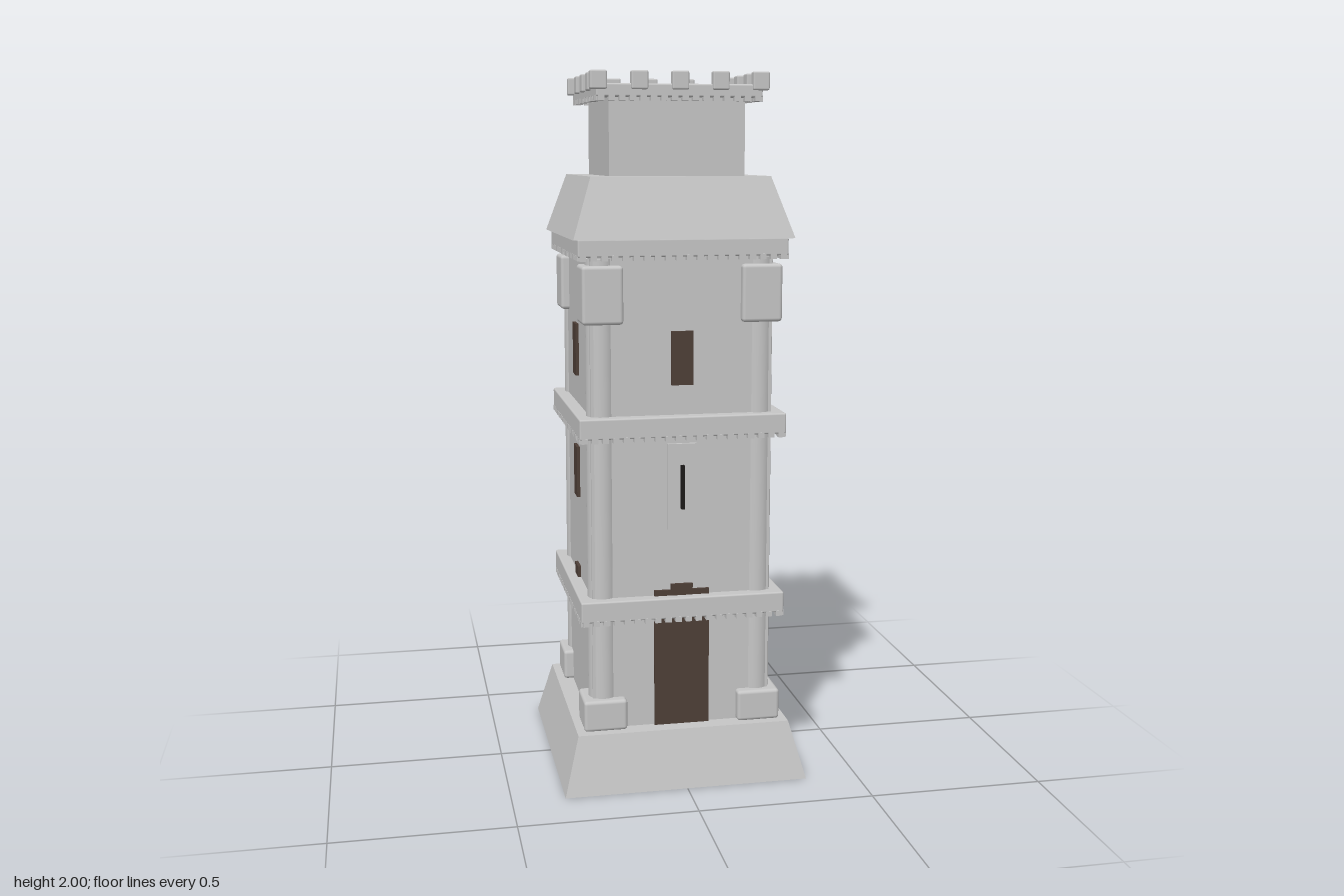
import * as THREE from 'three';
import { mergeGeometries } from 'three/addons/utils/BufferGeometryUtils.js';
import { RoundedBoxGeometry } from 'three/addons/geometries/RoundedBoxGeometry.js';

export function createModel() {
  const tower = new THREE.Group();
  tower.name = 'tower';

  const stone = new THREE.MeshStandardMaterial({ color: 0xc6c6c6 });
  stone.name = 'light grey stone';
  const wood = new THREE.MeshStandardMaterial({ color: 0x4e3f37 });
  wood.name = 'dark brown wood';
  const shadow = new THREE.MeshStandardMaterial({ color: 0x1c1a19 });
  shadow.name = 'near black opening';

  function add(name, geometry, material = stone, parent = tower) {
    const mesh = new THREE.Mesh(geometry, material);
    mesh.name = name;
    parent.add(mesh);
    return mesh;
  }

  // Box given by its centre in x and z, and its bottom and top in y
  function box(w, d, y0, y1, x = 0, z = 0) {
    return new THREE.BoxGeometry(w, y1 - y0, d).translate(x, (y0 + y1) / 2, z);
  }

  function softBox(w, d, y0, y1, x, z, radius) {
    return new RoundedBoxGeometry(w, y1 - y0, d, 2, radius).translate(x, (y0 + y1) / 2, z);
  }

  // Square block with sloping sides
  function frustum(bottomHalf, topHalf, y0, y1) {
    const g = new THREE.CylinderGeometry(topHalf * Math.SQRT2, bottomHalf * Math.SQRT2, y1 - y0, 4)
      .rotateY(Math.PI / 4)
      .translate(0, (y0 + y1) / 2, 0)
      .toNonIndexed();
    g.computeVertexNormals();
    return g;
  }

  // Row of small teeth under all four edges of a ledge
  function teeth(half, y0, y1, count) {
    const parts = [];
    const pitch = (2 * half) / count;
    for (let side = 0; side < 4; side++) {
      for (let i = 0; i < count; i++) {
        const x = -half + pitch * (i + 0.5);
        parts.push(box(pitch * 0.6, 0.02, y0, y1, x, half - 0.01).rotateY(side * Math.PI / 2));
      }
    }
    return mergeGeometries(parts);
  }

  // Main masses
  const wall = 0.256;
  add('slopingBase', frustum(0.35, 0.306, 0, 0.163));
  add('towerWalls', box(wall * 2, wall * 2, 0.16, 1.53));
  add('slopingRoof', frustum(0.306, 0.25, 1.553, 1.72));
  add('upperTurret', box(0.38, 0.38, 1.72, 1.94));

  // Ledges: half width, bottom, top, teeth per side
  const ledges = [
    ['lowerLedge', 0.292, 0.487, 0.547, 20],
    ['middleLedge', 0.292, 1.008, 1.066, 20],
    ['upperLedge', 0.292, 1.506, 1.555, 20],
    ['parapetFloor', 0.23, 1.931, 1.966, 16],
  ];
  for (const [name, half, y0, y1, count] of ledges) {
    add(name, softBox(half * 2, half * 2, y0, y1, 0, 0, 0.005));
    add(name + 'Teeth', teeth(half + 0.001, y0 - 0.01, y0 + 0.005, count));
  }

  // Corner columns with foot and head blocks
  for (const sx of [-1, 1]) {
    for (const sz of [-1, 1]) {
      const x = sx * 0.223, z = sz * 0.223;
      const corner = new THREE.Group();
      corner.name = 'cornerColumn';
      tower.add(corner);
      add('columnShaft', new THREE.CylinderGeometry(0.041, 0.042, 1.34, 24).translate(x, 0.83, z), stone, corner);
      add('columnFoot', softBox(0.124, 0.124, 0.163, 0.253, x, z, 0.01), stone, corner);
      add('columnHead', softBox(0.114, 0.114, 1.322, 1.482, x, z, 0.01), stone, corner);
    }
  }

  // Battlements: five along front and back, three between on each side
  const step = 0.112, edge = 0.224;
  for (const s of [-1, 1]) {
    for (let i = -2; i <= 2; i++) {
      add('merlon', softBox(0.046, 0.031, 1.95, 2, i * step, s * edge, 0.005));
      if (Math.abs(i) < 2) add('sideMerlon', softBox(0.031, 0.046, 1.95, 2, s * edge, i * step, 0.005));
    }
  }

  // Windows on each side; the front's middle one is an arrow slit
  for (let side = 0; side < 4; side++) {
    for (const y of [0.43, 0.79, 1.15]) {
      if (side === 0 && y === 0.79) continue;
      const g = box(0.062, 0.009, y, y + 0.15, 0, wall + 0.0045).rotateY(side * Math.PI / 2);
      add('window', g, wood);
    }
  }
  add('slitPlate', box(0.082, 0.01, 0.74, 0.985, 0, wall + 0.005));
  add('arrowSlit', box(0.01, 0.013, 0.8, 0.925, 0, 0.2715), shadow);

  // Front door
  add('door', box(0.158, 0.008, 0.163, 0.563, 0, wall + 0.004), wood);

  return tower;
}
